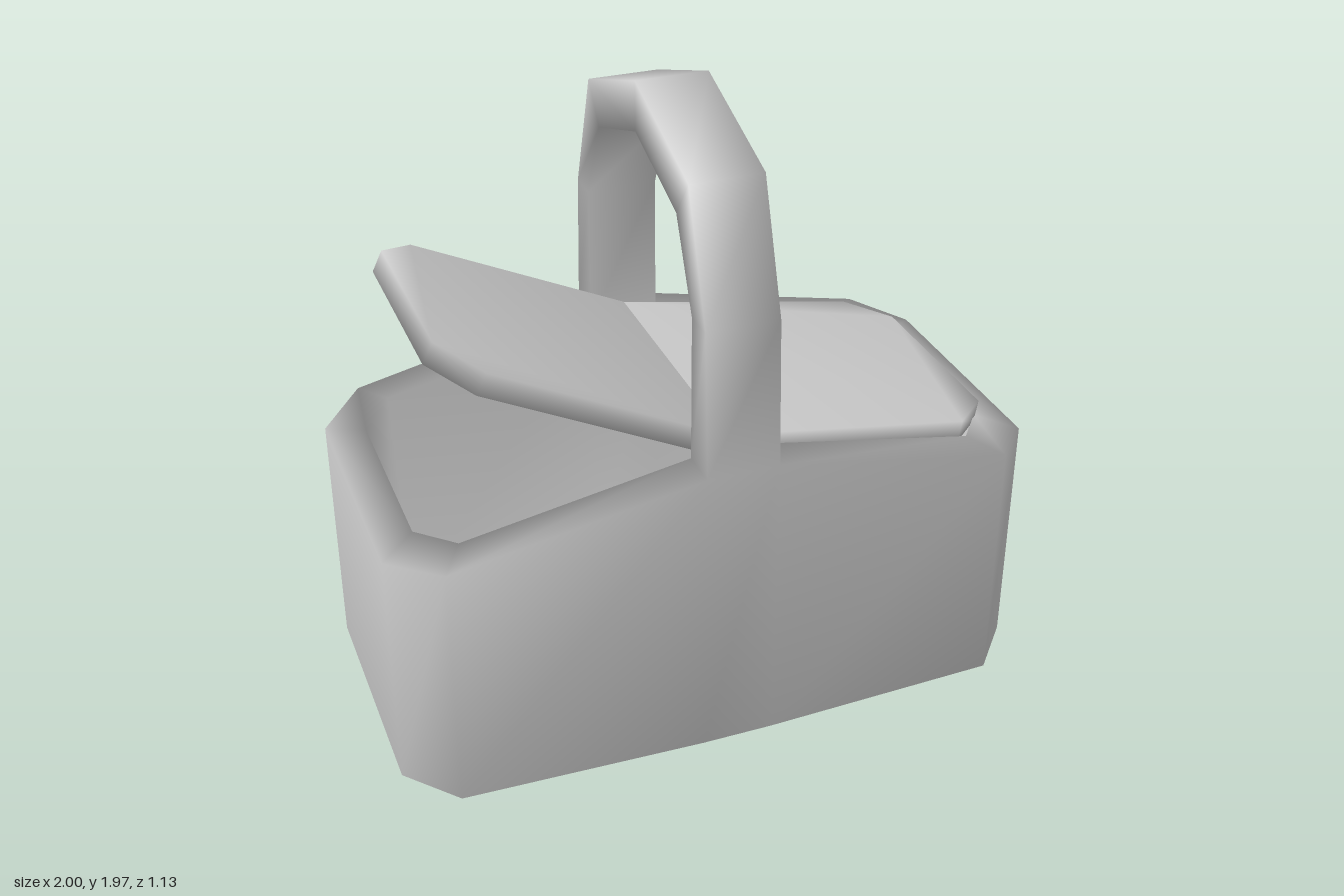
import * as THREE from 'three';
import { mergeVertices } from 'three/addons/utils/BufferGeometryUtils.js';

const material = () => new THREE.MeshStandardMaterial({ color: 0xcccccc });

// Mirror a quarter outline [[x, z], ...] into a closed twelve-point loop.
function fullLoop(q) {
  const half = [...q, ...q.map(([x, z]) => [-x, z]).reverse()];
  return [...half, ...half.map(([x, z]) => [-x, -z])];
}

// Rim line: flat under the handle, sloping down towards both ends.
const rimY = (x) => 1 - 0.2 * Math.max(0, Math.abs(x) - 0.11);

// Body and handle share vertices, so the shading flows from one to the other.
function basketAndHandle() {
  const positions = [];
  const lookup = new Map();
  const vertex = (p) => {
    const key = p.map((v) => (v + 0).toFixed(4).replace('-0.0000', '0.0000')).join();
    if (!lookup.has(key)) {
      lookup.set(key, positions.length / 3);
      positions.push(...p);
    }
    return lookup.get(key);
  };
  const band = (index, a, b, skip = () => false) => {
    a.forEach((_, i) => {
      if (skip(i)) return;
      const j = (i + 1) % a.length;
      index.push(a[i], b[i], a[j], a[j], b[i], b[j]);
    });
  };

  // Rings from the base centre, up the outside, over the rim, down to the floor
  const outer = fullLoop([[1, 0.38], [0.86, 0.54], [0.11, 0.565]]);
  const base = fullLoop([[0.87, 0.29], [0.77, 0.4], [0.1, 0.42]]);
  const inner = fullLoop([[0.89, 0.29], [0.79, 0.42], [0.11, 0.44]]);
  const ring = (loop, y, s = 1) => loop.map(([x, z]) => vertex([x * s, y ?? rimY(x), z * s]));
  const rings = [
    ring(base, 0, 0), ring(base, 0), ring(outer, 0.055),
    ring(outer), ring(inner), ring(inner, 0.08, 0.97), ring(inner, 0.08, 0),
  ];
  const bodyIndex = [];
  for (let r = 0; r + 1 < rings.length; r++) {
    // the rim is left open where the handle grows out of it
    band(bodyIndex, rings[r], rings[r + 1], (i) => r === 3 && (i === 2 || i === 8));
  }

  // Handle sections: outer z, outer y, inner z, inner y
  const arch = [
    [0.565, 1, 0.44, 1], [0.54, 1.45, 0.44, 1.45],
    [0.41, 1.83, 0.32, 1.71], [0, 1.97, 0, 1.82],
  ];
  const path = [...arch, ...arch.slice(0, 3).reverse().map(([a, b, c, d]) => [-a, b, -c, d])];
  const sections = path.map(([oz, oy, iz, iy]) => [
    [0.11, iy, iz], [0.11, oy, oz], [-0.11, oy, oz], [-0.11, iy, iz],
  ].map(vertex));
  const handleIndex = [];
  for (let s = 0; s + 1 < sections.length; s++) band(handleIndex, sections[s], sections[s + 1]);

  // Normals come from the joined surface, then each part keeps its own faces
  const joined = new THREE.BufferGeometry();
  joined.setAttribute('position', new THREE.Float32BufferAttribute(positions, 3));
  joined.setIndex([...bodyIndex, ...handleIndex]);
  joined.computeVertexNormals();
  return [['basketBody', bodyIndex], ['handle', handleIndex]].map(([name, index]) => {
    const geometry = joined.clone().setIndex(index);
    const mesh = new THREE.Mesh(geometry, material());
    mesh.name = name;
    return mesh;
  });
}

// Lid slab with clipped outer corners; side is +1 or -1 in x, angle is its tilt.
function lid(name, side, angle, length) {
  const half = [[0, 0.435], [length - 0.125, 0.415], [length, 0.295]];
  const outline = [...half, ...half.map(([x, z]) => [x, -z]).reverse()];
  const shape = new THREE.Shape(outline.map(([x, z]) => new THREE.Vector2(side * x, z)));
  let geometry = new THREE.ExtrudeGeometry(shape, { depth: 0.07, bevelEnabled: false });
  geometry.rotateX(Math.PI / 2); // slab now hangs below the hinge line
  geometry.deleteAttribute('normal');
  geometry.deleteAttribute('uv');
  geometry = mergeVertices(geometry);
  geometry.computeVertexNormals();
  const mesh = new THREE.Mesh(geometry, material());
  mesh.name = name;
  mesh.position.y = 1.05;
  mesh.rotation.z = side * angle;
  return mesh;
}

export function createModel() {
  const group = new THREE.Group();
  group.name = 'picnicBasket';
  group.add(
    ...basketAndHandle(),
    lid('closedLid', 1, -0.171, 0.913),
    lid('openLid', -1, 0.451, 0.883),
  );
  return group;
}
